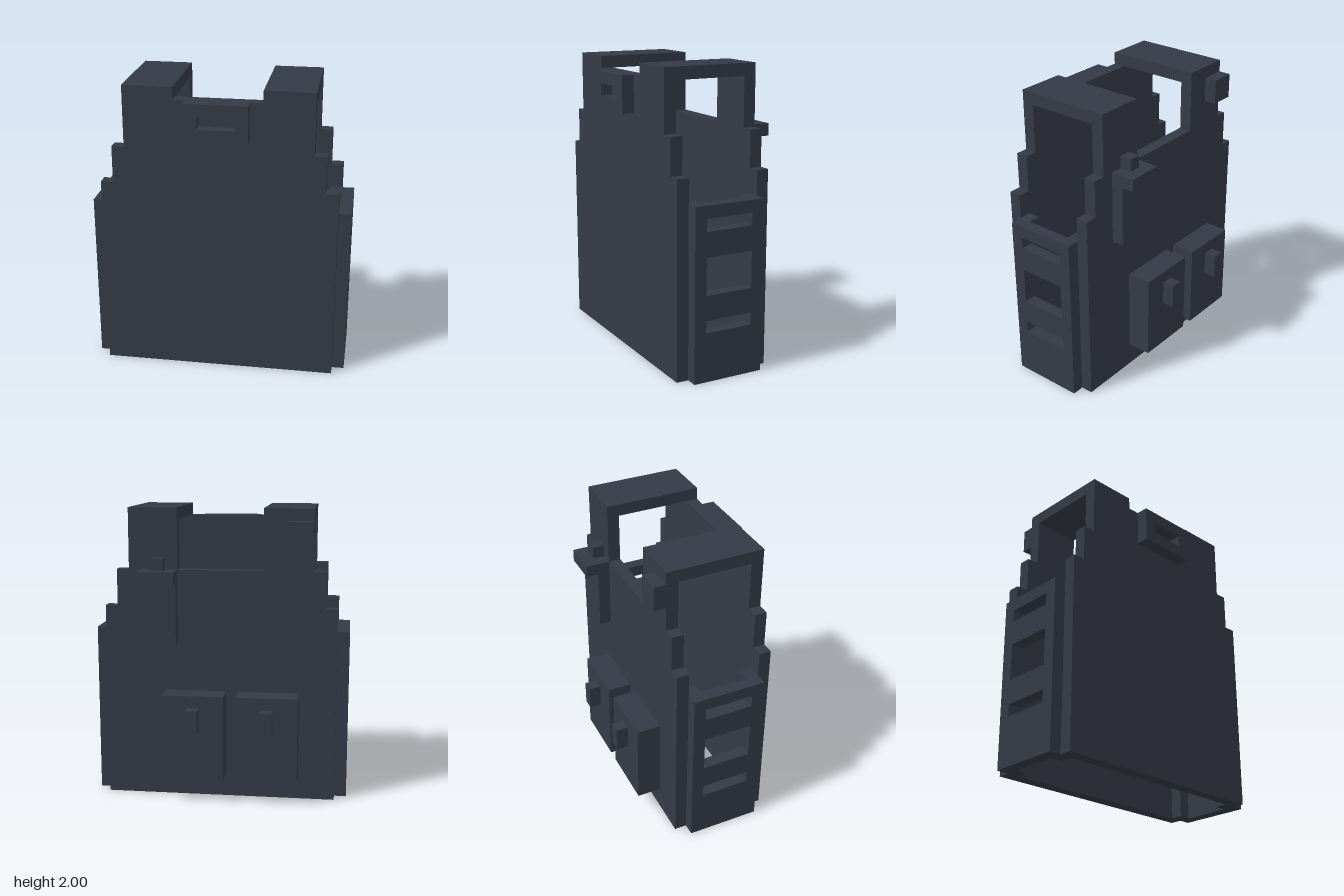
import * as THREE from 'three';

const U = 1 / 12; // one block of the model's grid

export function createModel() {
  const group = new THREE.Group();
  const fabric = new THREE.MeshStandardMaterial({ color: 0x343a46 });
  fabric.name = 'slate fabric';

  const add = (name, geometry) => {
    const mesh = new THREE.Mesh(geometry, fabric);
    mesh.name = name;
    group.add(mesh);
    return mesh;
  };
  // Box between two corners, in grid blocks
  const box = (name, x0, x1, y0, y1, z0, z1) =>
    add(name, new THREE.BoxGeometry((x1 - x0) * U, (y1 - y0) * U, (z1 - z0) * U))
      .position.set((x0 + x1) * U / 2, (y0 + y1) * U / 2, (z0 + z1) * U / 2);
  const rect = (Type, a0, a1, b0, b1) => new Type(
    [[a0, b0], [a1, b0], [a1, b1], [a0, b1]].map(([a, b]) => new THREE.Vector2(a * U, b * U)));
  const plate = (shape) => new THREE.ExtrudeGeometry(shape, { depth: U, bevelEnabled: false });

  // Stepped vest panel, mirrored in x, with a neck notch of the given height
  const panel = (name, neckY, z) => {
    const half = [[9.5, 0], [9.5, 16], [8.5, 16], [8.5, 19], [7.5, 19], [7.5, 23], [3.5, 23], [3.5, neckY]]
      .filter(([x], i) => i < 7 || neckY < 23);
    const outline = [...half, ...half.map(([x, y]) => [-x, y]).reverse()];
    const shape = new THREE.Shape(outline.map(([x, y]) => new THREE.Vector2(x * U, y * U)));
    add(name, plate(shape)).position.z = z * U;
  };
  panel('frontPanel', 23, 4);
  panel('backPanel', 19, -3);

  for (const s of [-1, 1]) {
    const side = s > 0 ? 'left' : 'right';
    const span = (a, b) => (s > 0 ? [a, b] : [-b, -a]);
    box(side + 'ShoulderStrap', ...span(3.5, 7.5), 23, 24, -3, 5);

    // Slotted side panel with inward flanges front and back
    const shape = rect(THREE.Shape, -4, 2, 0, 14);
    for (const [y0, y1] of [[4, 5], [7, 10], [12, 13]]) shape.holes.push(rect(THREE.Path, -3, 1, y0, y1));
    const panelMesh = add(side + 'SidePanel', plate(shape));
    panelMesh.rotation.y = Math.PI / 2;
    panelMesh.position.x = (s > 0 ? 9.5 : -10.5) * U;
    box(side + 'FrontFlange', ...span(8.5, 9.5), 0, 14, 3, 4);
    box(side + 'BackFlange', ...span(8.5, 9.5), 0, 14, -2, -1);
  }

  // Chest badge holder with a recessed slot
  const badge = rect(THREE.Shape, -2.5, 2.5, 20, 23);
  badge.holes.push(rect(THREE.Path, -1.5, 1.5, 21, 22));
  add('chestHolder', plate(badge)).position.z = 5 * U;

  // Back pockets with fasteners
  for (const x of [-6.5, -0.5]) {
    box('backPocket', x, x + 5, 2, 9, -5, -3);
    box('pocketFastener', x + 2, x + 3, 6, 8, -6, -5);
  }

  // Shoulder pouch with overhanging flap and knob, and a strap clip
  box('shoulderPouch', 3.5, 6.5, 13, 18, -4, -3);
  box('pouchFlap', 3.5, 6.5, 18, 19, -5, -3);
  box('pouchKnob', 4.5, 5.5, 19, 20, -4, -3);
  box('strapClip', -7.5, -5.5, 21, 23, -4, -3);

  return group;
}
